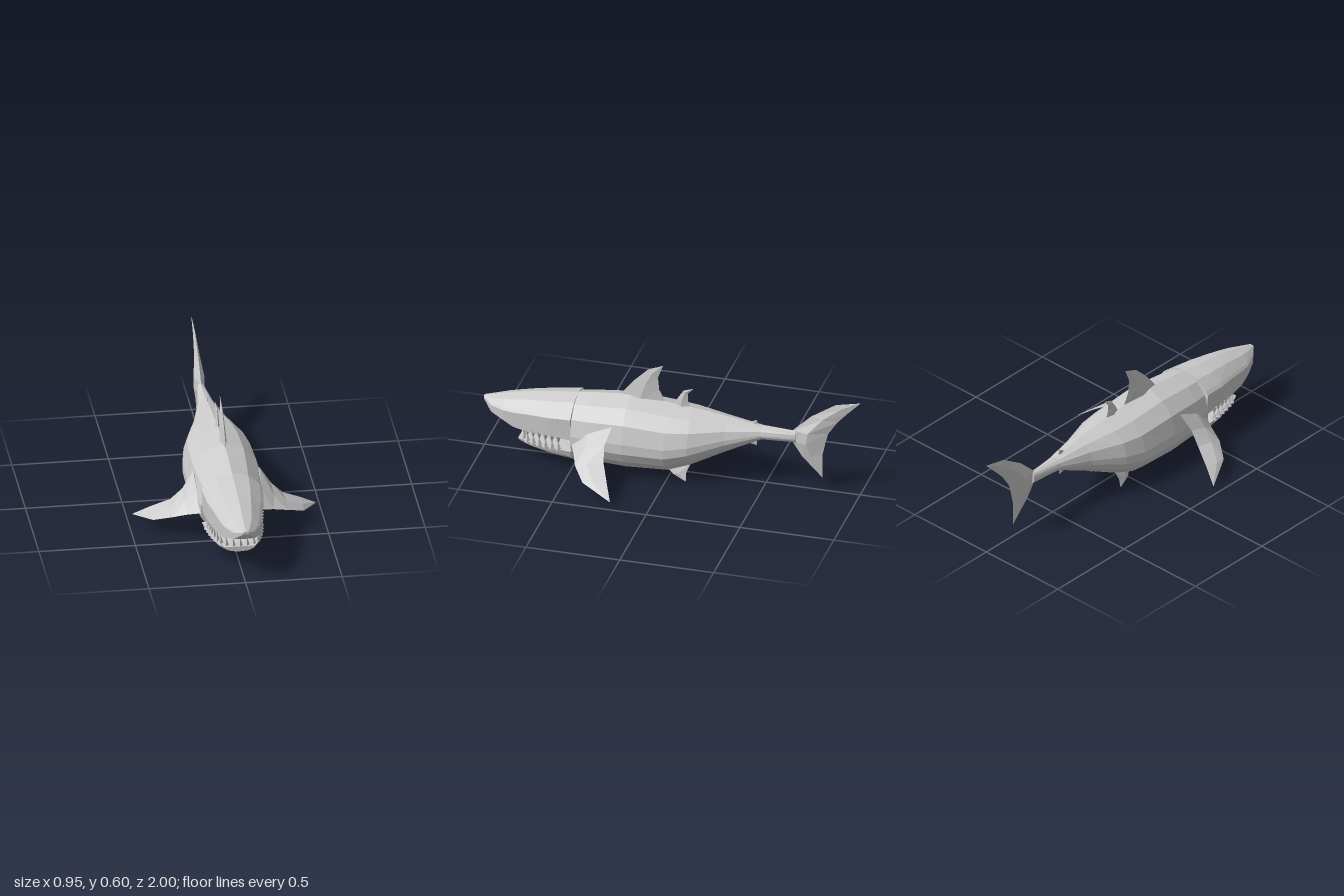
import * as THREE from 'three';

const material = new THREE.MeshStandardMaterial({ color: 0xcccccc, flatShading: true, side: THREE.DoubleSide });

// Closed solid through equal-sized rings of [x, y, z], turned outward by its signed volume
function loft(name, rings) {
  const n = rings[0].length;
  const tris = [];
  for (let i = 0; i < rings.length - 1; i++) {
    for (let j = 0; j < n; j++) {
      const k = (j + 1) % n;
      const [a, b, c, d] = [rings[i][j], rings[i][k], rings[i + 1][k], rings[i + 1][j]];
      tris.push([a, b, c], [a, c, d]);
    }
  }
  for (const [ring, flip] of [[rings[0], true], [rings[rings.length - 1], false]]) {
    const mid = [0, 1, 2].map(q => ring.reduce((s, p) => s + p[q], 0) / n);
    ring.forEach((p, j) => {
      const next = ring[(j + 1) % n];
      tris.push(flip ? [mid, next, p] : [mid, p, next]);
    });
  }
  const v = p => new THREE.Vector3(...p);
  const volume = tris.reduce((s, [a, b, c]) => s + v(a).dot(v(b).cross(v(c))), 0);
  const ordered = volume < 0 ? tris.map(([a, b, c]) => [a, c, b]) : tris;
  const geometry = new THREE.BufferGeometry();
  geometry.setAttribute('position', new THREE.Float32BufferAttribute(ordered.flat(2), 3));
  geometry.computeVertexNormals();
  const mesh = new THREE.Mesh(geometry, material);
  mesh.name = name;
  return mesh;
}

// Half profile from top centre to bottom centre, mirrored into a full ring
function mirroredRing(half, z) {
  const other = half.slice(1, -1).reverse().map(([x, y]) => [-x, y]);
  return [...half, ...other].map(([x, y]) => [x, y, z]);
}

// Fin of diamond cross-sections: each section is [leading point, trailing point, half thickness]
function fin(name, sections, side = 1) {
  const points = sections.map(([lead, trail, t]) => ({
    lead: new THREE.Vector3(...lead), trail: new THREE.Vector3(...trail), t,
  }));
  const root = points[0];
  const next = points[1];
  const span = next.lead.clone().add(next.trail).sub(root.lead).sub(root.trail);
  const normal = root.trail.clone().sub(root.lead).cross(span).normalize();
  const rings = points.map(({ lead, trail, t }) => {
    const mid = lead.clone().lerp(trail, 0.45);
    return [lead, mid.clone().addScaledVector(normal, t), trail, mid.clone().addScaledVector(normal, -t)]
      .map(p => [p.x * side, p.y, p.z]);
  });
  return loft(name, rings);
}

// Upright fin on the centre line: sections are [leadZ, leadY, trailZ, trailY, half thickness]
const uprightFin = (name, sections) =>
  fin(name, sections.map(([lz, ly, tz, ty, t]) => [[0, ly, lz], [0, ty, tz], t]));

export function createModel() {
  const shark = new THREE.Group();
  shark.name = 'shark';

  // Trunk from the back of the mouth to the tail root: [z, half width, top, bottom]
  const bodyShape = [[0, 1], [0.52, 0.91], [0.86, 0.74], [1, 0.5], [1, 0.36], [0.86, 0.22], [0.52, 0.07], [0, 0]];
  const bodyStations = [
    [0.5, 0.16, 0.385, 0.028], [0.42, 0.175, 0.395, 0.022], [0.22, 0.192, 0.415, 0.015],
    [0, 0.187, 0.395, 0.028], [-0.12, 0.165, 0.383, 0.075], [-0.3, 0.092, 0.36, 0.168],
    [-0.48, 0.042, 0.332, 0.258], [-0.66, 0.02, 0.328, 0.262],
  ];
  shark.add(loft('body', bodyStations.map(([z, w, top, bottom]) =>
    mirroredRing(bodyShape.map(([x, y]) => [x * w, bottom + y * (top - bottom)]), z))));

  // Upper head: [z, half width, top, cheek height, mouth edge, palate height]
  const headStations = [
    [0.5, 0.158, 0.385, 0.3, 0.18, 0.22], [0.62, 0.147, 0.372, 0.29, 0.185, 0.22],
    [0.74, 0.122, 0.355, 0.28, 0.178, 0.21], [0.82, 0.107, 0.339, 0.272, 0.187, 0.2],
    [0.88, 0.092, 0.325, 0.27, 0.212, 0.21], [0.95, 0.058, 0.307, 0.27, 0.232, 0.23],
    [1, 0.015, 0.295, 0.29, 0.28, 0.28],
  ];
  shark.add(loft('upperHead', headStations.map(([z, w, top, cheek, edge, palate]) => mirroredRing([
    [0, top], [w * 0.53, top - (top - cheek) * 0.25], [w * 0.9, cheek + (top - cheek) * 0.2],
    [w, cheek], [w * 0.97, edge], [w * 0.8, edge], [0, palate],
  ], z))));

  // Lower jaw: [z, half width, top, bottom]
  const jawStations = [
    [0.5, 0.157, 0.115, 0.028], [0.62, 0.138, 0.115, 0.037],
    [0.74, 0.108, 0.115, 0.06], [0.8, 0.078, 0.113, 0.085],
  ];
  shark.add(loft('lowerJaw', jawStations.map(([z, w, top, bottom]) => mirroredRing([
    [0, top], [w, top], [w * 0.92, bottom + (top - bottom) * 0.6],
    [w * 0.56, bottom + (top - bottom) * 0.12], [0, bottom],
  ], z))));

  // Two rows of teeth whose tips meet along the jaw arc
  const jawArc = new THREE.CatmullRomCurve3([
    [-0.138, 0.57], [-0.118, 0.68], [-0.08, 0.765], [0, 0.785], [0.08, 0.765], [0.118, 0.68], [0.138, 0.57],
  ].map(([x, z]) => new THREE.Vector3(x, 0, z)));
  const toothGeometry = new THREE.ConeGeometry(0.018, 0.05, 4);
  const teeth = new THREE.Group();
  teeth.name = 'teeth';
  for (let i = 0; i < 17; i++) {
    const p = jawArc.getPointAt(i / 16);
    for (const upper of [true, false]) {
      const tooth = new THREE.Mesh(toothGeometry, material);
      tooth.name = upper ? 'upperTooth' : 'lowerTooth';
      tooth.position.set(p.x, upper ? 0.165 : 0.133, p.z);
      tooth.rotation.x = upper ? Math.PI : 0;
      teeth.add(tooth);
    }
  }
  shark.add(teeth);

  // Paired fins
  for (const side of [1, -1]) {
    const label = side > 0 ? 'left' : 'right';
    shark.add(fin(label + 'PectoralFin', [
      [[0.145, 0.165, 0.5], [0.17, 0.3, 0.275], 0.02],
      [[0.22, 0.145, 0.465], [0.23, 0.215, 0.3], 0.016],
      [[0.3, 0.12, 0.435], [0.29, 0.15, 0.285], 0.012],
      [[0.39, 0.078, 0.37], [0.39, 0.092, 0.24], 0.007],
      [[0.475, 0.035, 0.203], [0.474, 0.036, 0.2], 0.001],
    ], side));
    shark.add(fin(label + 'PelvicFin', [
      [[0.06, 0.06, 0.02], [0.08, 0.1, -0.12], 0.016],
      [[0.09, 0.03, -0.03], [0.093, 0.05, -0.1], 0.01],
      [[0.104, 0.004, -0.097], [0.104, 0.005, -0.1], 0.001],
    ], side));
  }

  // Fins along the back and the tail stalk
  shark.add(uprightFin('dorsalFin', [
    [0.29, 0.39, 0.03, 0.38, 0.02], [0.2, 0.5, 0.07, 0.46, 0.012],
    [0.13, 0.57, 0.077, 0.53, 0.007], [0.052, 0.602, 0.05, 0.6, 0.001],
  ]));
  shark.add(uprightFin('secondDorsalFin', [
    [0, 0.375, -0.1, 0.37, 0.012], [-0.03, 0.43, -0.083, 0.42, 0.008],
    [-0.06, 0.475, -0.083, 0.46, 0.005], [-0.109, 0.491, -0.11, 0.489, 0.001],
  ]));
  shark.add(uprightFin('upperFinlet', [
    [-0.4, 0.335, -0.46, 0.325, 0.007], [-0.448, 0.361, -0.45, 0.36, 0.001],
  ]));
  shark.add(uprightFin('lowerFinlet', [
    [-0.39, 0.225, -0.45, 0.255, 0.007], [-0.448, 0.213, -0.45, 0.214, 0.001],
  ]));

  // Crescent tail fin, swept from the lower tip to the upper tip
  shark.add(uprightFin('tailFin', [
    [-0.797, 0.077, -0.8, 0.078, 0.001], [-0.69, 0.185, -0.8, 0.21, 0.016],
    [-0.64, 0.262, -0.815, 0.28, 0.028], [-0.64, 0.328, -0.83, 0.335, 0.028],
    [-0.74, 0.425, -0.88, 0.41, 0.014], [-0.87, 0.51, -0.93, 0.465, 0.007],
    [-0.998, 0.538, -1, 0.536, 0.001],
  ]));

  return shark;
}
